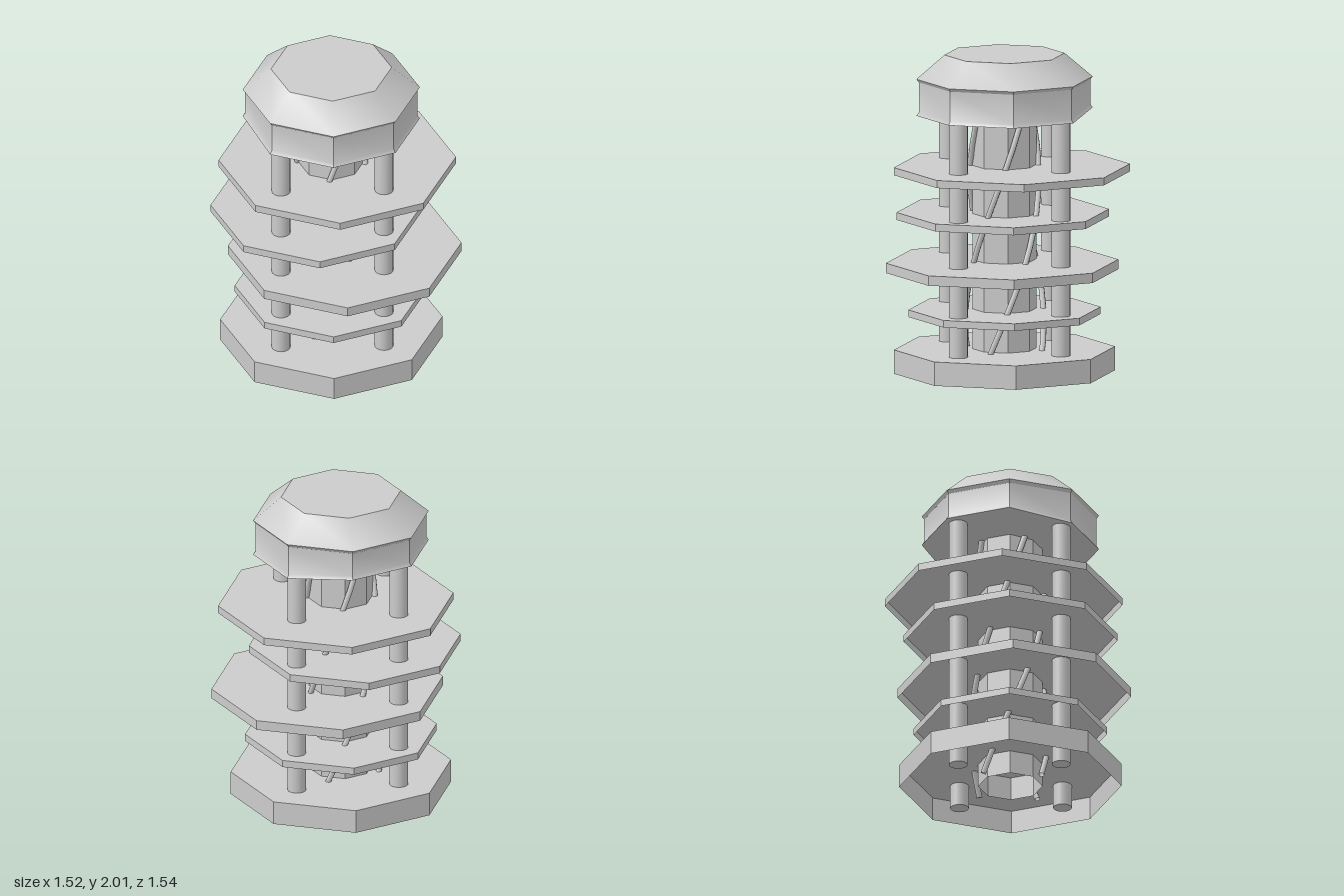
import * as THREE from 'three';
import { toCreasedNormals } from 'three/addons/utils/BufferGeometryUtils.js';

const CX = -0.037, CZ = -0.03; // shared vertical axis

const smooth = new THREE.MeshStandardMaterial({ color: 0xcccccc, side: THREE.DoubleSide });
const faceted = new THREE.MeshStandardMaterial({ color: 0xcccccc, side: THREE.DoubleSide, flatShading: true });

function octagonLathe(profile) {
  return new THREE.LatheGeometry(profile.map(([r, y]) => new THREE.Vector2(r, y)), 8);
}

export function createModel() {
  const model = new THREE.Group();
  const add = (name, geometry, material, x = CX, y = 0, z = CZ) => {
    const mesh = new THREE.Mesh(geometry, material);
    mesh.name = name;
    mesh.position.set(x, y, z);
    model.add(mesh);
  };

  // Base and shifted floor plates: octagonal trays open underneath
  const plates = [
    ['base', 0.69, 0, 0.15, CX, CZ],
    ['floorPlate1', 0.6, 0.355, 0.4, CX, CZ],
    ['floorPlate2', 0.725, 0.648, 0.71, 0.005, 0.045],
    ['floorPlate3', 0.663, 0.953, 1.0, -0.1, -0.09],
    ['floorPlate4', 0.737, 1.255, 1.303, 0.02, -0.033],
  ];
  for (const [name, r, y0, y1, x, z] of plates) {
    add(name, octagonLathe([[r, 0], [r, y1 - y0], [0, y1 - y0]]), faceted, x, y0, z);
  }

  // Four round columns
  const columnGeometry = toCreasedNormals(new THREE.CylinderGeometry(0.058, 0.058, 1.65, 16), 0.8);
  for (let i = 0; i < 4; i++) {
    const a = i * Math.PI / 2;
    add('column', columnGeometry, smooth, CX + 0.452 * Math.sin(a), 0.825, CZ + 0.452 * Math.cos(a));
  }

  // Hollow octagonal core
  add('core', new THREE.CylinderGeometry(0.2, 0.2, 1.64, 8, 1, true), faceted, CX, 0.82, CZ);

  // Four rods winding around the core, drawing in towards the top
  for (let k = 0; k < 4; k++) {
    const points = [];
    for (let i = 0; i <= 8; i++) {
      const y = 1.64 * i / 8;
      const a = THREE.MathUtils.degToRad(-8 + 97 * (y - 0.8) + 90 * k);
      const r = 0.255 - 0.055 * i / 8;
      points.push(new THREE.Vector3(r * Math.sin(a), y, r * Math.cos(a)));
    }
    const path = new THREE.CatmullRomCurve3(points);
    add('spiralRod', new THREE.TubeGeometry(path, 16, 0.018, 8), smooth);
  }

  // Roof cap with flared rims; its lower rim rises slightly at the back
  const cap = octagonLathe([
    [0, 1.62], [0.55, 1.62], [0.535, 1.642], [0.535, 1.83], [0.55, 1.85], [0.375, 2], [0, 2],
  ]);
  const p = cap.attributes.position;
  for (let i = 0; i < p.count; i++) {
    if (p.getY(i) < 1.7 && p.getZ(i) < -0.3) p.setY(i, p.getY(i) + 0.035);
  }
  add('roofCap', toCreasedNormals(cap, 0.6), smooth);

  return model;
}
